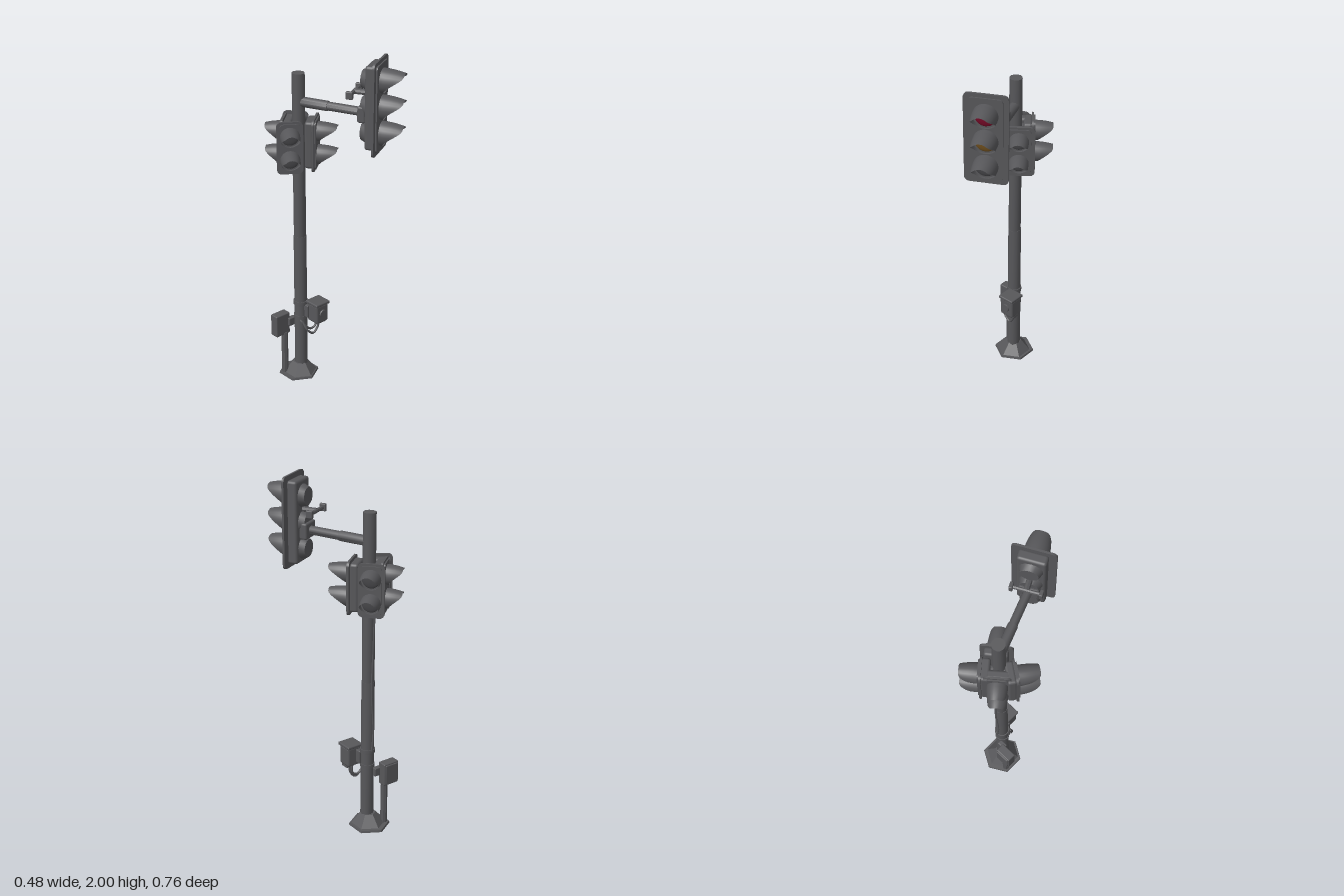
import * as THREE from 'three';
import { RoundedBoxGeometry } from 'three/addons/geometries/RoundedBoxGeometry.js';
import { toCreasedNormals } from 'three/addons/utils/BufferGeometryUtils.js';

const paint = (name, color, extra = {}) => {
  const m = new THREE.MeshStandardMaterial({ color, ...extra });
  m.name = name;
  return m;
};
const V = (x, y, z) => new THREE.Vector3(x, y, z);
const PX = -0.05, PZ = -0.21; // pole axis

export function createModel() {
  const grey = paint('greyMetal', 0x57575a);
  const sheet = paint('greySheet', 0x57575a, { side: THREE.DoubleSide });
  const red = paint('redGlass', 0x780a28);
  const amber = paint('amberGlass', 0x70501f);
  const dark = paint('darkGlass', 0x47474a);
  const root = new THREE.Group();
  root.name = 'trafficLight';

  const add = (parent, name, geo, x = 0, y = 0, z = 0, mat = grey) => {
    const m = new THREE.Mesh(geo, mat);
    m.name = name;
    m.position.set(x, y, z);
    parent.add(m);
    return m;
  };
  const cyl = (rt, rb, h, n = 12) => toCreasedNormals(new THREE.CylinderGeometry(rt, rb, h, n), 0.75);
  const box = (w, h, d, r = 0.01) => new RoundedBoxGeometry(w, h, d, 2, r);

  // round bar between two points
  const bar = (parent, name, a, b, r, n = 10) => {
    const m = add(parent, name, cyl(r, r, a.distanceTo(b), n));
    m.position.copy(a).add(b).multiplyScalar(0.5);
    m.quaternion.setFromUnitVectors(V(0, 1, 0), b.clone().sub(a).normalize());
    return m;
  };

  // flat plate with rounded corners, centred, front and back along z
  const plate = (w, h, r, t) => {
    const s = new THREE.Shape(), x = w / 2, y = h / 2;
    s.absarc(x - r, y - r, r, 0, Math.PI / 2);
    s.absarc(-x + r, y - r, r, Math.PI / 2, Math.PI);
    s.absarc(-x + r, -y + r, r, Math.PI, Math.PI * 1.5);
    s.absarc(x - r, -y + r, r, Math.PI * 1.5, Math.PI * 2);
    return new THREE.ExtrudeGeometry(s, { depth: t, bevelEnabled: false, curveSegments: 4 }).translate(0, 0, -t / 2);
  };

  // visor: tapered tube, long over the top and short below
  const visor = (r, len) => {
    const g = new THREE.PlaneGeometry(1, 1, 24, 4), p = g.attributes.position;
    for (let i = 0; i < p.count; i++) {
      const a = -Math.PI / 2 + (p.getX(i) + 0.5) * Math.PI * 2;
      const t = p.getY(i) + 0.5;
      const reach = 0.015 + (len - 0.015) * THREE.MathUtils.smoothstep(Math.sin(a), -1.0, 0.8);
      const k = r * (1 - 0.24 * Math.pow(t * reach / len, 2));
      p.setXYZ(i, Math.cos(a) * k, Math.sin(a) * k, t * reach);
    }
    g.computeVertexNormals();
    return g;
  };

  // signal head, facing local +z
  const signal = (name, o) => {
    const g = new THREE.Group();
    g.name = name;
    g.position.set(o.x, o.y, o.z);
    g.rotation.y = THREE.MathUtils.degToRad(o.yaw);
    root.add(g);
    add(g, 'backplate', plate(o.w, o.h, 0.028, 0.012));
    add(g, 'frontPanel', plate(o.w * 0.76, o.h * 0.92, 0.02, 0.012), 0, 0, 0.008);
    add(g, 'housing', box(o.r * 2.3, o.h * 0.9, o.depth, 0.015), 0, 0, -o.depth / 2);
    o.lenses.forEach(([y, mat]) => {
      add(g, 'visor', visor(o.r, o.len), 0, y, 0.012, sheet);
      const lens = new THREE.SphereGeometry(o.r * 0.88, 20, 6, 0, Math.PI * 2, 0, Math.PI / 2);
      add(g, 'lens', lens.rotateX(Math.PI / 2).scale(1, 1, 0.25), 0, y, 0.013, mat);
    });
    return g;
  };

  // base
  const BX = -0.057, BZ = -0.225;
  add(root, 'basePlate', new THREE.CylinderGeometry(0.115, 0.118, 0.012, 6).toNonIndexed(), BX, 0.006, BZ)
    .geometry.computeVertexNormals();
  add(root, 'baseFlare', toCreasedNormals(new THREE.CylinderGeometry(0.045, 0.098, 0.065, 6), 0.4), BX + 0.003, 0.044, BZ + 0.008);

  // pole
  add(root, 'lowerPole', cyl(0.037, 0.038, 0.9), PX, 0.45, PZ);
  add(root, 'upperPole', cyl(0.036, 0.035, 0.96), PX, 1.38, PZ);
  add(root, 'poleClamp', cyl(0.043, 0.043, 0.025), PX, 0.475, PZ);
  add(root, 'poleClamp', cyl(0.042, 0.042, 0.02), PX, 0.385, PZ);
  const cable = new THREE.CatmullRomCurve3([
    V(-0.06, 1.33, -0.25), V(-0.055, 1.1, -0.246), V(-0.045, 0.85, -0.25), V(-0.06, 0.6, -0.248), V(-0.05, 0.48, -0.25)]);
  add(root, 'poleCable', new THREE.TubeGeometry(cable, 24, 0.005, 6));

  // mast arm
  const dir = V(0.37, 0, 0.93);
  const from = V(PX, 1.7, PZ);
  bar(root, 'mastArm', from, from.clone().addScaledVector(dir, 0.37), 0.024);
  bar(root, 'armSleeve', from, from.clone().addScaledVector(dir, 0.18), 0.028);

  // main signal
  const main = signal('mainSignal', {
    x: 0.133, y: 1.745, z: 0.228, yaw: 28, w: 0.235, h: 0.51, r: 0.067, len: 0.125, depth: 0.06,
    lenses: [[0.14, red], [-0.005, amber], [-0.15, dark]],
  });
  for (const y of [0.14, -0.005, -0.15]) {
    add(main, 'lampBucket', cyl(0.064, 0.05, 0.035, 14), 0, y, -0.075).rotation.x = Math.PI / 2;
  }
  add(main, 'armSocket', box(0.11, 0.09, 0.045), 0, -0.045, -0.085);
  // cross bar behind the main signal
  bar(main, 'crossBar', V(-0.075, 0.065, -0.14), V(0.075, 0.065, -0.14), 0.011, 8);
  bar(main, 'crossBarStem', V(0, 0.065, -0.14), V(0, 0.065, -0.06), 0.016, 8);
  for (const s of [-1, 1]) add(main, 'crossBarEnd', box(0.02, 0.042, 0.038, 0.005), s * 0.078, 0.065, -0.14);

  // four lower signals round the pole
  [
    ['frontLeftSignal', 0.022, -0.155, 38, 0.175, 0.112],
    ['frontRightSignal', -0.138, -0.182, -35, 0.145, 0.115],
    ['backRightSignal', -0.102, -0.275, -140, 0.15, 0.09],
    ['backLeftSignal', 0.0, -0.295, 130, 0.145, 0.1],
  ].forEach(([name, x, z, yaw, w, len]) => {
    const head = signal(name, {
      x, y: 1.46, z, yaw, w, h: 0.3, r: 0.055, len, depth: 0.05,
      lenses: [[0.067, dark], [-0.067, dark]],
    });
    for (const y of [-0.1, 0.1]) bar(root, 'signalBracket', V(PX, 1.46 + y, PZ), head.position.clone().setY(1.46 + y), 0.016, 8);
  });

  // push button unit with its hanging cable
  const unit = new THREE.Group();
  unit.name = 'pushButtonUnit';
  root.add(unit);
  add(unit, 'unitBody', box(0.09, 0.115, 0.085, 0.012), 0.003, 0.427, -0.12);
  add(unit, 'unitLid', box(0.102, 0.018, 0.1, 0.006), 0.002, 0.49, -0.12);
  add(unit, 'unitFoot', box(0.05, 0.02, 0.05, 0.006), 0.02, 0.366, -0.12);
  add(unit, 'unitButton', cyl(0.022, 0.025, 0.012, 12), 0.003, 0.43, -0.076).rotation.x = Math.PI / 2;
  add(unit, 'unitMount', box(0.05, 0.08, 0.05, 0.006), -0.03, 0.43, -0.17);
  for (const [d, z] of [[0, -0.13], [0.022, -0.15]]) {
    const loop = new THREE.CatmullRomCurve3([
      V(0.012, 0.38, z), V(0.012, 0.325, z), V(-0.02, 0.285 + d, z - 0.005), V(-0.06, 0.315 + d, z - 0.01), V(-0.075, 0.37, z - 0.04)]);
    add(unit, 'unitCable', new THREE.TubeGeometry(loop, 20, 0.007, 6));
  }

  // junction box on its own post
  add(root, 'junctionPost', cyl(0.019, 0.02, 0.28, 8), -0.13, 0.14, -0.265);
  add(root, 'junctionBox', box(0.1, 0.135, 0.055, 0.006), -0.148, 0.335, -0.28);
  add(root, 'junctionDoor', box(0.085, 0.118, 0.012, 0.004), -0.148, 0.335, -0.308);
  add(root, 'junctionBracket', box(0.05, 0.05, 0.03, 0.005), -0.09, 0.345, -0.25);

  return root;
}
